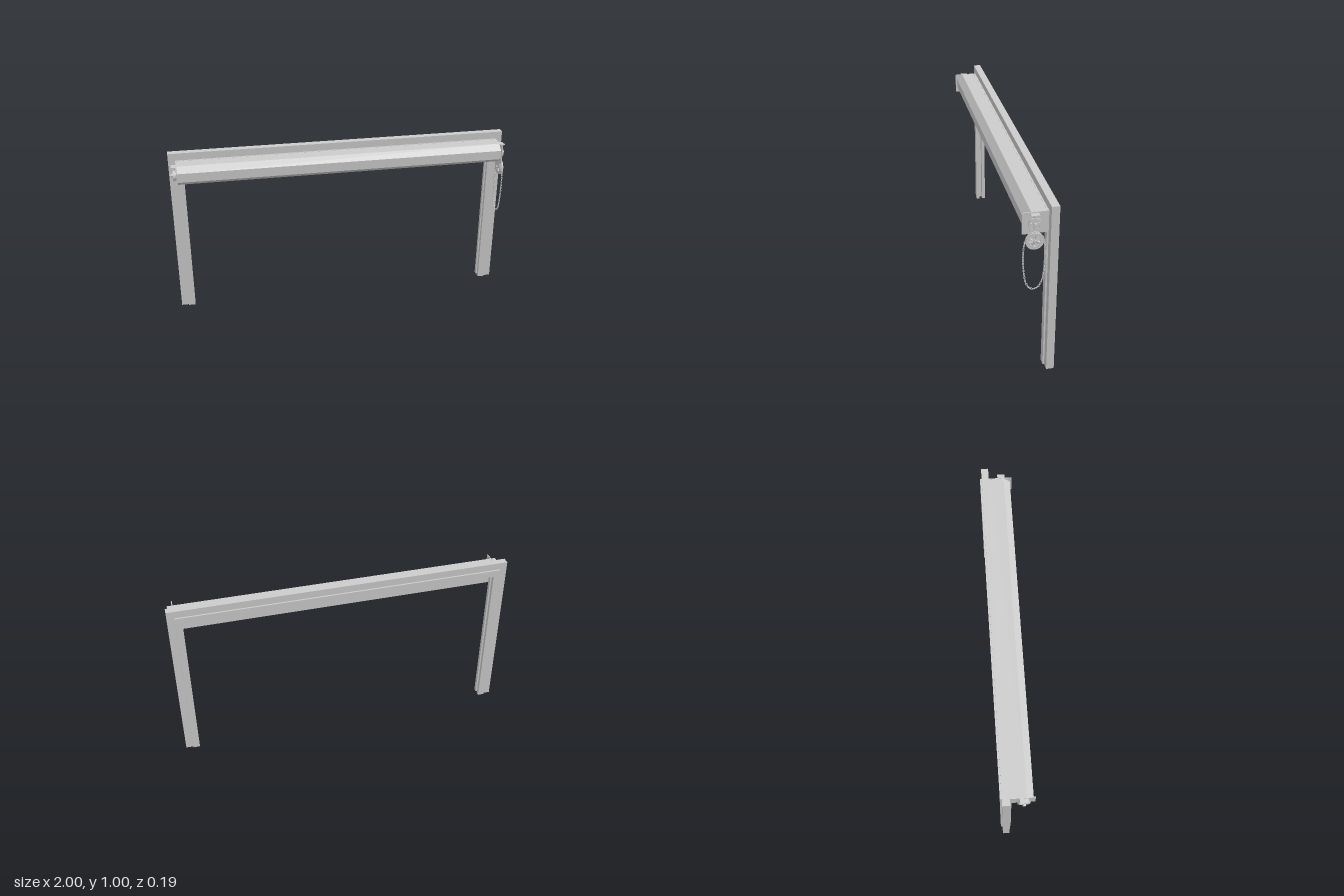
import * as THREE from 'three';

const mat = new THREE.MeshStandardMaterial({ color: 0xcccccc, side: THREE.DoubleSide });

function add(parent, name, geometry, x = 0, y = 0, z = 0) {
  const m = new THREE.Mesh(geometry, mat);
  m.name = name;
  m.position.set(x, y, z);
  parent.add(m);
  return m;
}

const polygon = (pts) => new THREE.Shape(pts.map(([x, y]) => new THREE.Vector2(x, y)));
const extrude = (shape, depth) =>
  new THREE.ExtrudeGeometry(shape, { depth, bevelEnabled: false, curveSegments: 24 });

// Door-shaped band lying between two insets from the frame's outer edge
function frameBand(parent, name, inset0, inset1, z0, z1) {
  const a = 1 - inset0, b = 1 - inset1;
  const s = polygon([[-a, 0], [-a, a], [a, a], [a, 0], [b, 0], [b, b], [-b, b], [-b, 0]]);
  add(parent, name, extrude(s, z1 - z0), 0, 0, z0);
}

// Flat part drawn in (z, y) and extruded along x
function sidePlate(parent, name, shape, x, depth, y = 0, z = 0) {
  const g = extrude(shape, depth);
  g.rotateY(-Math.PI / 2);
  g.translate(depth, 0, 0);
  return add(parent, name, g, x, y, z);
}

// Disc with a centre and evenly spaced sector-shaped openings
function spokedDisc(radius, rIn, rOut, count, fill, start = 0) {
  const s = new THREE.Shape();
  s.absarc(0, 0, radius, 0, Math.PI * 2, false);
  for (let i = 0; i < count; i++) {
    const mid = start + (i / count) * Math.PI * 2;
    const half = (Math.PI / count) * fill;
    const h = new THREE.Path();
    h.absarc(0, 0, rOut, mid - half, mid + half, false);
    h.absarc(0, 0, rIn, mid + half, mid - half, true);
    h.closePath();
    s.holes.push(h);
  }
  return s;
}

function xCylinder(r, length, segments = 28) {
  return new THREE.CylinderGeometry(r, r, length, segments).rotateZ(Math.PI / 2);
}

const AXIS_Z = 0.033, HUB_Y = 0.898, WHEEL_Y = 0.803;

// End plate, bearing hub and T-shaped stop for one end
function endBracket(side) {
  const g = new THREE.Group();
  g.name = side > 0 ? 'leftEndBracket' : 'rightEndBracket';
  add(g, 'endPlate', new THREE.BoxGeometry(0.005, 0.12, 0.127), 0.956, 0.898, 0.0315);
  add(g, 'hubBase', xCylinder(0.029, 0.012), 0.964, HUB_Y, AXIS_Z);
  sidePlate(g, 'hubFace', spokedDisc(0.034, 0.014, 0.028, 4, 0.55, Math.PI / 4),
    0.97, 0.007, HUB_Y, AXIS_Z);
  add(g, 'shaftEnd', xCylinder(0.009, 0.03), 0.974, HUB_Y, AXIS_Z);
  add(g, 'stopBar', new THREE.BoxGeometry(0.028, 0.005, 0.043), 0.972, 0.95, AXIS_Z);
  for (const dz of [-0.004, 0.004])
    add(g, 'stopStem', new THREE.BoxGeometry(0.012, 0.035, 0.003), 0.971, 0.93, AXIS_Z + dz);
  return g;
}

// Spoked chain wheel, its carrier arm and the hanging chain
function chainHoist() {
  const g = new THREE.Group();
  g.name = 'chainHoist';
  const arm = polygon([[-0.02, 0.898], [0.02, 0.898], [0.025, 0.86], [0.03, 0.803],
    [-0.03, 0.803], [-0.025, 0.86]]);
  sidePlate(g, 'carrierArm', arm, 0.958, 0.004, 0, AXIS_Z);
  const wheel = spokedDisc(0.047, 0.01, 0.029, 8, 0.55);
  for (const x of [0.962, 0.975]) sidePlate(g, 'wheelFlange', wheel, x, 0.004, WHEEL_Y, AXIS_Z);
  const core = spokedDisc(0.04, 0.01, 0.029, 8, 0.55);
  sidePlate(g, 'wheelCore', core, 0.966, 0.009, WHEEL_Y, AXIS_Z);
  add(g, 'wheelAxle', xCylinder(0.008, 0.034, 16), 0.969, WHEEL_Y, AXIS_Z);

  // Chain path in (z, y), from the wheel top round the hanging loop
  const half = [[0, 0.847], [0.03, 0.835], [0.046, 0.81], [0.055, 0.76], [0.057, 0.7],
    [0.053, 0.63], [0.042, 0.562], [0.022, 0.525]];
  const loop = [...half, [0, 0.517], ...half.slice(1).reverse().map(([z, y]) => [-z, y])];
  const path = new THREE.CatmullRomCurve3(
    loop.map(([z, y]) => new THREE.Vector3(0.9705, y, AXIS_Z + z)), true);
  const link = new THREE.TorusGeometry(0.0042, 0.0014, 6, 12).scale(1.75, 1, 1);
  const count = 2 * Math.round(path.getLength() / 0.021);
  const along = new THREE.Vector3(), ax = new THREE.Vector3(1, 0, 0);
  for (let i = 0; i < count; i++) {
    const m = add(g, 'chainLink', link);
    m.position.copy(path.getPointAt(i / count));
    along.copy(path.getTangentAt(i / count));
    // Alternate links are turned a quarter round the chain
    const across = new THREE.Vector3().crossVectors(ax, along);
    const basis = i % 2
      ? new THREE.Matrix4().makeBasis(along, across.clone().negate(), ax.clone())
      : new THREE.Matrix4().makeBasis(along, ax.clone(), across);
    if (basis.determinant() < 0) basis.scale(new THREE.Vector3(1, 1, -1));
    m.quaternion.setFromRotationMatrix(basis);
  }
  return g;
}

export function createModel() {
  const model = new THREE.Group();
  model.name = 'rollerDoor';

  // Frame: outer surround and an inward-opening guide channel
  const frame = new THREE.Group();
  frame.name = 'frame';
  frameBand(frame, 'outerFrame', 0, 0.042, -0.083, -0.041);
  frameBand(frame, 'guideWeb', 0.042, 0.05, -0.093, -0.032);
  frameBand(frame, 'guideBackLeg', 0.05, 0.082, -0.093, -0.072);
  frameBand(frame, 'guideFrontLeg', 0.05, 0.082, -0.053, -0.032);
  model.add(frame);

  // Hood covering the rolled curtain, with chamfered front edges
  const hood = polygon([[-0.032, 0.845], [0.048, 0.845], [0.085, 0.872], [0.085, 0.925],
    [0.048, 0.957], [-0.032, 0.957]]);
  sidePlate(model, 'hood', hood, -0.955, 1.91);

  // Brackets at both ends
  model.add(endBracket(1));
  const right = endBracket(-1);
  right.scale.x = -1;
  model.add(right);

  model.add(chainHoist());
  return model;
}
